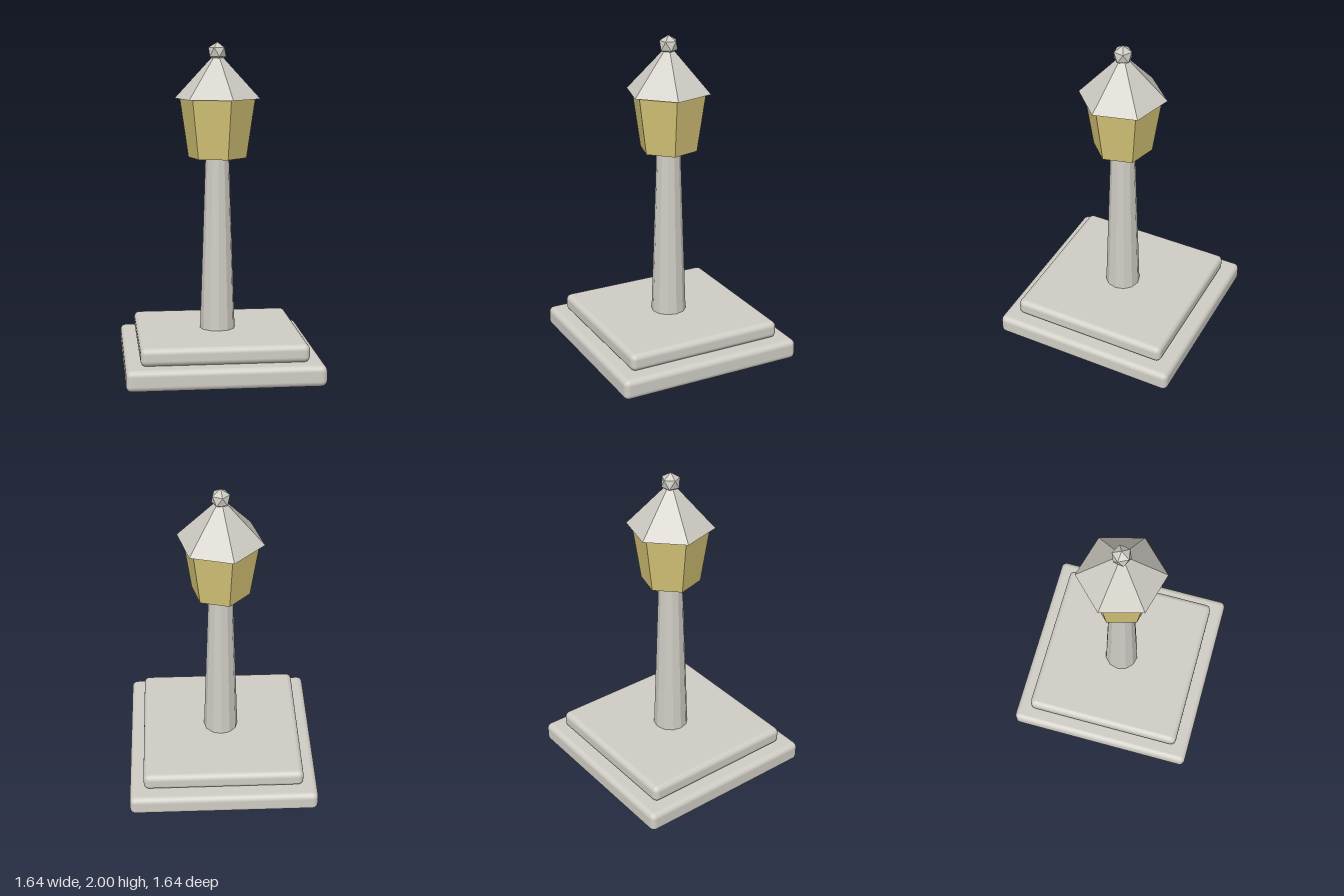
import * as THREE from 'three';
import { RoundedBoxGeometry } from 'three/addons/geometries/RoundedBoxGeometry.js';

export function createModel() {
  const model = new THREE.Group();
  model.name = 'streetLantern';

  const stone = new THREE.MeshStandardMaterial({ color: 0xd0cdc5 });
  stone.name = 'paleStone';
  const stoneFaceted = new THREE.MeshStandardMaterial({ color: 0xd0cdc5, flatShading: true });
  stoneFaceted.name = 'paleStoneFaceted';
  const glass = new THREE.MeshStandardMaterial({ color: 0xd8c678, flatShading: true });
  glass.name = 'yellowGlass';

  const add = (name, geometry, material, y) => {
    const mesh = new THREE.Mesh(geometry, material);
    mesh.name = name;
    mesh.position.y = y;
    model.add(mesh);
    return mesh;
  };

  // Rounded square slab turned 45 degrees; reach is the centre-to-corner distance
  const slab = (name, reach, bottom, top) => {
    const r = 0.035;
    const side = 2 * (r + (reach - r) / Math.SQRT2);
    const geometry = new RoundedBoxGeometry(side, top - bottom, side, 3, r);
    add(name, geometry, stone, (bottom + top) / 2).rotation.y = Math.PI / 4;
  };
  slab('lowerStep', 0.82, 0, 0.127);
  slab('upperStep', 0.695, 0.125, 0.233);

  // Tapered post, sunk slightly into the step
  const post = new THREE.CylinderGeometry(0.073, 0.109, 1.1, 12);
  post.rotateY(Math.PI / 12);
  add('post', post, stoneFaceted, 0.76);

  // Six-sided lamp housing and overhanging roof
  add('lampGlass', new THREE.CylinderGeometry(0.233, 0.18, 0.36, 6), glass, 1.478);
  add('roof', new THREE.ConeGeometry(0.265, 0.287, 6), stoneFaceted, 1.658 + 0.1435);

  // Faceted finial with one point straight up
  const finial = new THREE.IcosahedronGeometry(0.061, 0);
  finial.rotateZ(-Math.atan(2 / (1 + Math.sqrt(5))));
  add('finial', finial, stoneFaceted, 1.939);

  return model;
}
